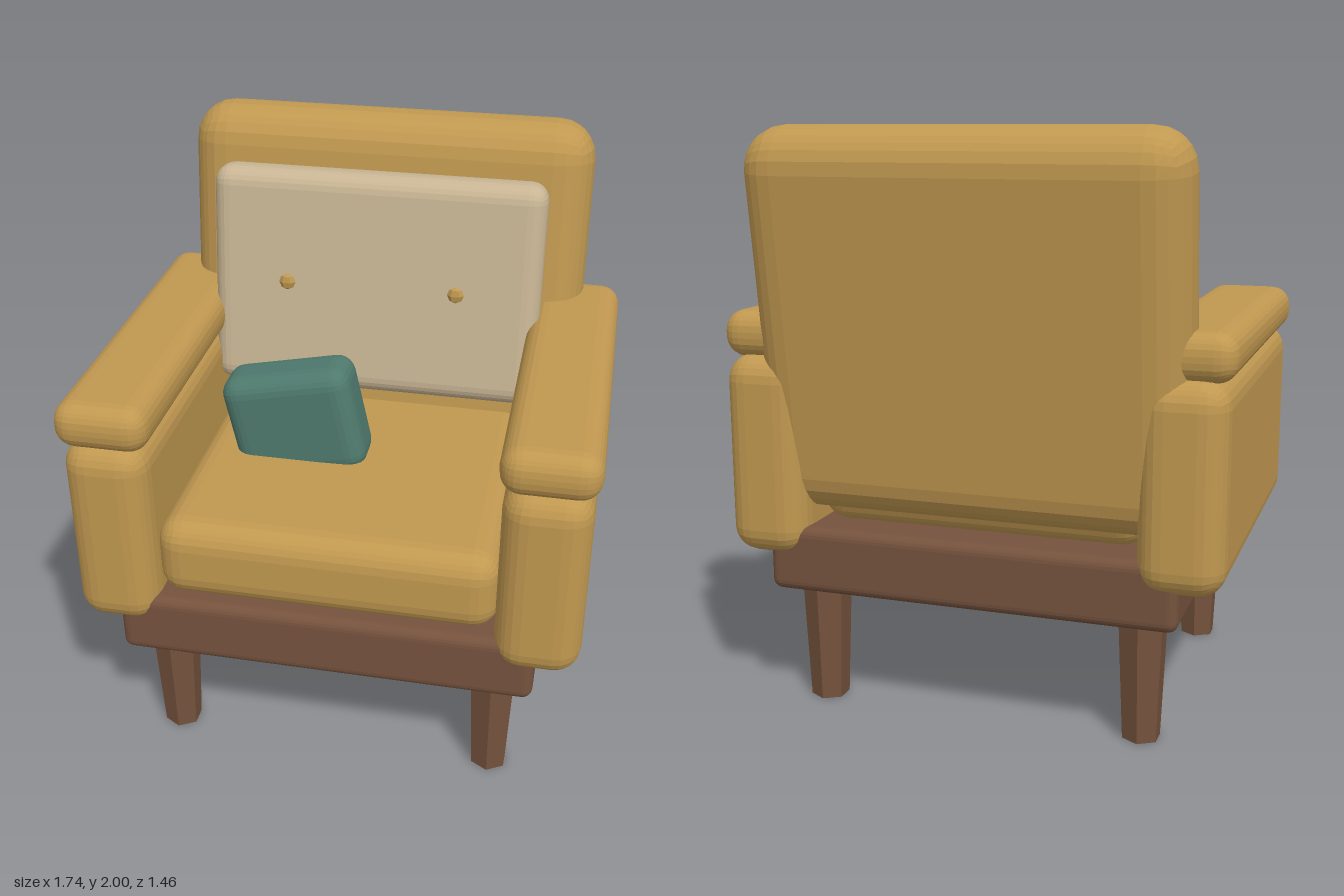
import * as THREE from 'three';
import { RoundedBoxGeometry } from 'three/addons/geometries/RoundedBoxGeometry.js';

const paint = (name, color) => new THREE.MeshStandardMaterial({ name, color, flatShading: true });

export function createModel() {
  const group = new THREE.Group();
  group.name = 'armchair';

  const gold = paint('gold fabric', 0xc09850);
  const cream = paint('cream fabric', 0xc8b594);
  const teal = paint('teal fabric', 0x4f7a6e);
  const wood = paint('brown wood', 0x75523d);

  const add = (name, geometry, material, x, y, z) => {
    const mesh = new THREE.Mesh(geometry, material);
    mesh.name = name;
    mesh.position.set(x, y, z);
    group.add(mesh);
    return mesh;
  };
  // Padded block: size, corner radius, centre
  const pad = (name, material, [w, h, d], r, [x, y, z]) =>
    add(name, new RoundedBoxGeometry(w, h, d, 3, r), material, x, y, z);

  // Wooden base and tapered six-sided legs
  pad('base', wood, [1.42, 0.23, 1.31], 0.035, [0, 0.54, 0.045]);
  const legGeometry = new THREE.CylinderGeometry(0.086, 0.066, 0.45, 6);
  for (const z of [0.54, -0.455]) {
    for (const x of [-0.57, 0.57]) {
      add(z > 0 ? 'frontLeg' : 'backLeg', legGeometry, wood, x, 0.225, z);
    }
  }

  // Seat cushion
  pad('seat', gold, [1.155, 0.29, 1.18], 0.09, [0, 0.795, 0.085]);

  // Reclined backrest and the cream cushion in front of it
  const recline = -0.13;
  pad('backrest', gold, [1.47, 1.3, 0.3], 0.14, [0, 1.35, -0.515]).rotation.x = recline;
  pad('backCushion', cream, [1.19, 0.81, 0.16], 0.065, [0, 1.445, -0.277]).rotation.x = recline;

  // Arms with padded tops, and the buttons
  const button = new THREE.SphereGeometry(0.03, 6, 4);
  for (const side of [-1, 1]) {
    pad('arm', gold, [0.285, 0.69, 1.37], 0.09, [side * 0.712, 0.895, 0.042]);
    pad('armTop', gold, [0.315, 0.16, 1.33], 0.07, [side * 0.712, 1.305, 0.06]);
    add('button', button, gold, side * 0.303, 1.48, -0.151).scale.z = 0.55;
  }

  // Tilted throw pillow resting on the seat
  pad('pillow', teal, [0.47, 0.4, 0.21], 0.065, [-0.22, 1.06, 0.071]).rotation.z = 0.21;

  return group;
}
